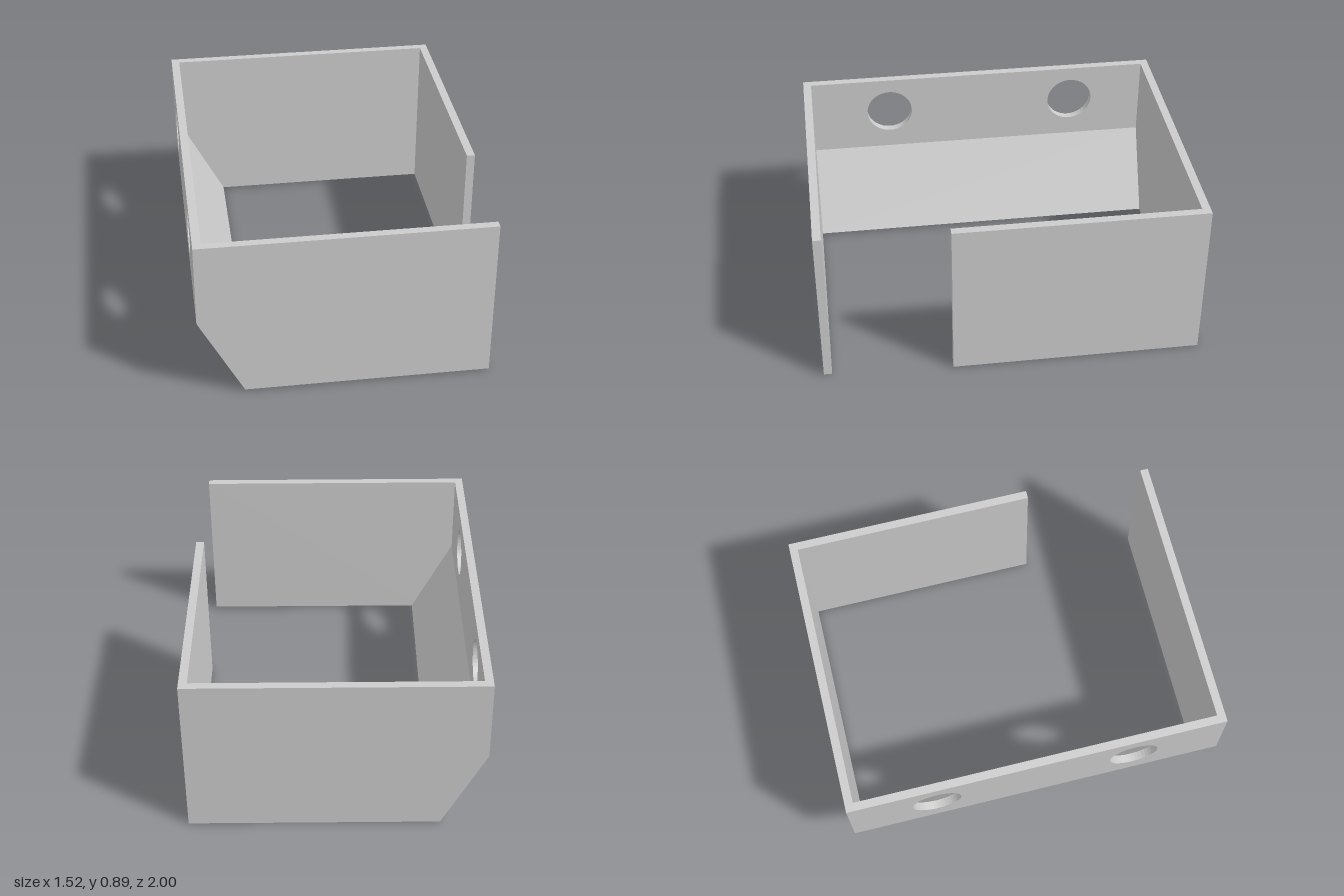
import * as THREE from 'three';

const material = new THREE.MeshStandardMaterial({ color: 0xcccccc, flatShading: true });
const H = 0.877;              // wall height
const BREAK = 0.438;          // height where the left wall folds inward
const LEFT = -0.757, RIGHT = 0.76, FRONT = 0.991, BACK = -0.997;
const T = 0.043;              // sheet thickness

function polygon(points) {
  return new THREE.Shape(points.map(([x, y]) => new THREE.Vector2(x, y)));
}

function extrude(name, shape, depth) {
  const geometry = new THREE.ExtrudeGeometry(shape, { depth, bevelEnabled: false, curveSegments: 20 });
  const mesh = new THREE.Mesh(geometry, material);
  mesh.name = name;
  return mesh;
}

// End wall with its lower left corner cut away
function endWall(name, right, z) {
  const mesh = extrude(name, polygon([[-0.53, 0], [right, 0], [right, H], [LEFT, H], [LEFT, BREAK]]), T);
  mesh.position.z = z;
  return mesh;
}

export function createModel() {
  const model = new THREE.Group();
  model.name = 'openBox';

  const body = new THREE.Group();
  body.name = 'walls';
  body.add(endWall('frontWall', 0.73, FRONT - T), endWall('backWall', RIGHT, BACK));

  // Upright left wall, drawn with shape x running along -z, with two round holes
  const z0 = BACK + T, z1 = FRONT - T;
  const side = polygon([[-z1, BREAK], [-z0, BREAK], [-z0, H], [-z1, H]]);
  for (const z of [0.51, -0.54]) {
    side.holes.push(new THREE.Path().absarc(-z, 0.672, 0.128, 0, Math.PI * 2, true));
  }
  const leftWall = extrude('leftWall', side, T);
  leftWall.rotation.y = Math.PI / 2;
  leftWall.position.x = LEFT;
  body.add(leftWall);

  // Sloping lower part of the left wall
  const slope = extrude('slopedPanel',
    polygon([[-0.53, 0], [-0.485, 0], [LEFT + T, BREAK], [LEFT, BREAK]]), z1 - z0);
  slope.position.z = z0;
  body.add(slope);

  // Right wall stops short of the front, leaving an opening
  const length = 0.314 - z0;
  const rightWall = new THREE.Mesh(new THREE.BoxGeometry(T, H, length), material);
  rightWall.name = 'rightWall';
  rightWall.position.set(RIGHT - T / 2, H / 2, z0 + length / 2);
  body.add(rightWall);

  // The box sits very slightly askew
  body.rotation.set(-0.004, 0.004, -0.003);
  body.position.y = 0.006;
  model.add(body);
  return model;
}
